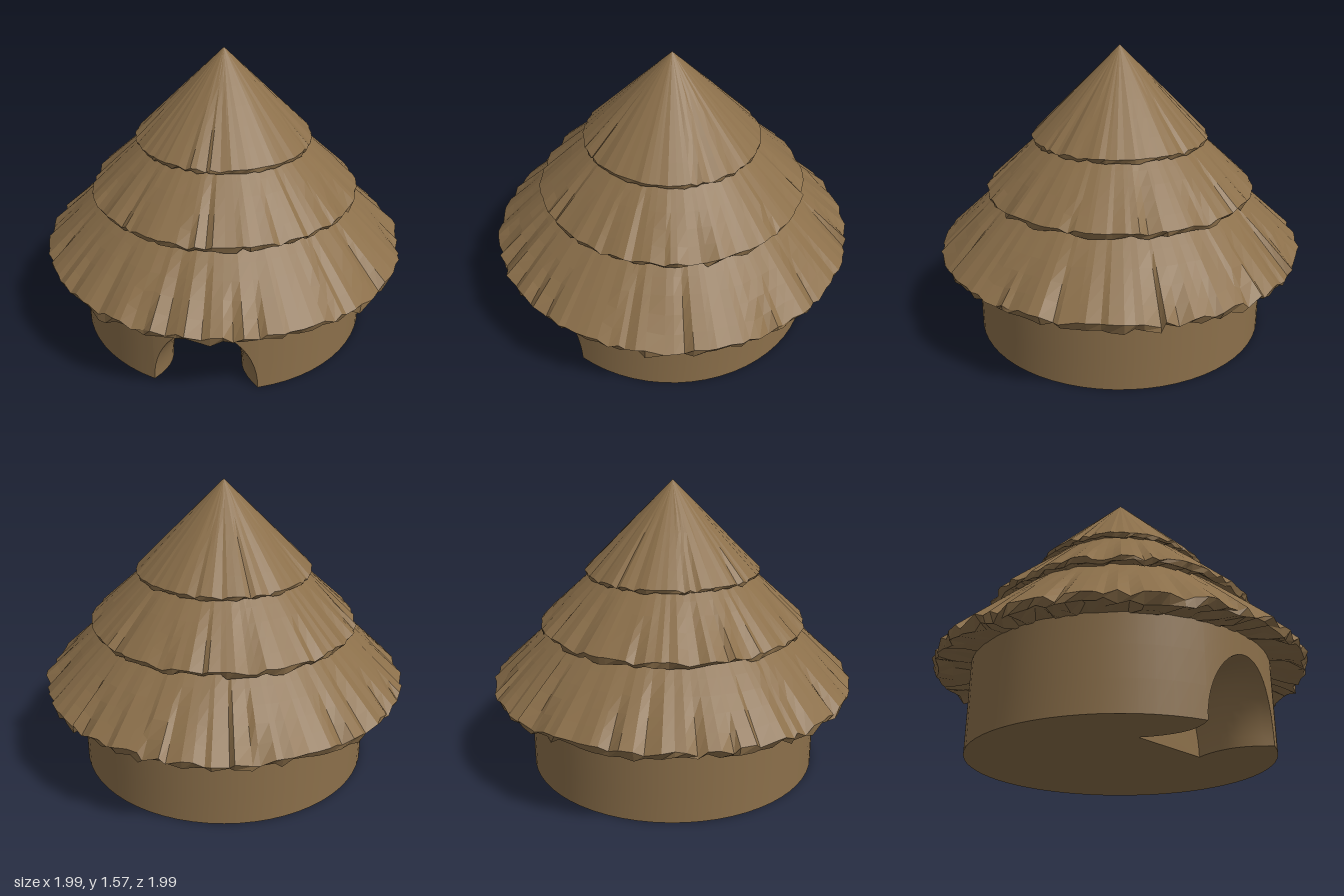
import * as THREE from 'three';

const WALL_R = 0.8, WALL_TOP = 0.48;
const DOOR_W = 0.27, DOOR_H = 0.37, DOOR_BACK = 0.36;

// Small seeded generator for the ragged thatch
let seed = 7;
const rand = () => {
  seed = (seed * 16807) % 2147483647;
  return seed / 2147483647;
};

// Surface from a grid of points; flat gives one normal per face
function gridSurface(nu, nv, point, flat = false) {
  const pos = [], idx = [];
  for (let j = 0; j <= nv; j++) for (let i = 0; i <= nu; i++) pos.push(...point(i, j));
  for (let j = 0; j < nv; j++) for (let i = 0; i < nu; i++) {
    const a = j * (nu + 1) + i, b = a + 1, c = a + nu + 1, d = c + 1;
    idx.push(a, b, d, a, d, c);
  }
  let geo = new THREE.BufferGeometry();
  geo.setAttribute('position', new THREE.Float32BufferAttribute(pos, 3));
  geo.setIndex(idx);
  if (flat) geo = geo.toNonIndexed();
  geo.computeVertexNormals();
  return geo;
}

// Point of the doorway: t runs over the arch, v runs from the outer face inwards
function doorPoint(t, v) {
  const flare = (1 - 2 * v) ** 2 * (v < 0.5 ? DOOR_W - 0.185 : 0.05);
  const c = Math.cos(t), rimX = DOOR_W * c;
  const z = THREE.MathUtils.lerp(Math.sqrt(WALL_R ** 2 - rimX ** 2), DOOR_BACK, v);
  return [-0.04 * v + (0.185 + flare) * c, (DOOR_H - 0.01 * Math.sin(Math.PI * v)) * Math.sin(t), z];
}

// Round wall whose lower edge follows the door arch
function wallGeometry() {
  const cols = [], n = 24, m = 56, half = Math.asin(DOOR_W / WALL_R);
  for (let i = 0; i <= n; i++) {
    const t = Math.PI * (1 - i / n);
    cols.push([Math.asin(DOOR_W * Math.cos(t) / WALL_R), DOOR_H * Math.sin(t)]);
  }
  for (let i = 1; i <= m; i++) cols.push([half + (2 * Math.PI - 2 * half) * i / m, 0]);
  return gridSurface(cols.length - 1, 3, (i, j) => {
    const [a, y0] = cols[i];
    return [WALL_R * Math.sin(a), THREE.MathUtils.lerp(y0, WALL_TOP, j / 3), WALL_R * Math.cos(a)];
  });
}

// Underside of the hut with the doorway notch cut out
function baseGeometry() {
  const pts = [], half = Math.asin(DOOR_W / WALL_R);
  for (let i = 0; i <= 56; i++) {
    const a = half + (2 * Math.PI - 2 * half) * i / 56;
    pts.push(new THREE.Vector2(WALL_R * Math.sin(a), WALL_R * Math.cos(a)));
  }
  for (const [t, back] of [[Math.PI, false], [0, true]]) {
    for (let k = 0; k <= 10; k++) {
      const p = doorPoint(t, (back ? 10 - k : k) / 10);
      pts.push(new THREE.Vector2(p[0], p[2]));
    }
  }
  return new THREE.ShapeGeometry(new THREE.Shape(pts)).rotateX(Math.PI / 2);
}

// Flat wall at the back of the doorway
function doorBackGeometry() {
  const pts = [];
  for (let i = 0; i <= 24; i++) {
    const p = doorPoint(Math.PI * i / 24, 1);
    pts.push(new THREE.Vector2(p[0], p[1]));
  }
  return new THREE.ShapeGeometry(new THREE.Shape(pts)).translate(0, 0, DOOR_BACK);
}

// Thatch tier: grooves widen down to a ragged lip, then a rough underside
function thatchGeometry({ topR, topY, edgeR, edgeY, innerR, innerY, n, rough }) {
  const cols = [];
  for (let i = 0; i < n; i++) {
    const groove = rand() < 0.3;
    cols.push({
      a: (i + (rand() - 0.5) * 0.7) / n * Math.PI * 2,
      depth: rough * (groove ? 0.7 + rand() * 0.6 : rand() * 0.3),
      start: groove ? 0.2 + rand() * 0.5 : 0.5,
      r: edgeR - rand() * rough * 0.5,
      lipY: edgeY - rough * (0.7 + rand() * 0.9),
      lipR: edgeR - rough * (0.4 + rand() * 0.8),
      mid: (rand() - 0.5) * rough * 1.2,
    });
  }
  const steps = 6;
  return gridSurface(n, steps + 3, (i, j) => {
    const c = cols[i % n];
    let r, y;
    if (j === 0) [r, y] = [innerR, innerY];
    else if (j === 1) [r, y] = [(innerR + edgeR) / 2, (innerY + c.lipY) / 2 + c.mid];
    else if (j === 2) [r, y] = [c.lipR, c.lipY];
    else {
      const s = 1 - (j - 3) / steps;
      const sink = c.depth * Math.max(0, (s - c.start) / (1 - c.start));
      r = THREE.MathUtils.lerp(topR, c.r, s) - sink * 0.2;
      y = THREE.MathUtils.lerp(topY, edgeY, s) - sink * 0.7;
    }
    return [r * Math.sin(c.a), y, r * Math.cos(c.a)];
  }, true);
}

export function createModel() {
  const hut = new THREE.Group();
  hut.name = 'roundHut';
  const brown = new THREE.MeshStandardMaterial({ color: 0x8b6f4a, side: THREE.DoubleSide });
  brown.name = 'earth brown';
  const add = (name, geometry) => {
    const mesh = new THREE.Mesh(geometry, brown);
    mesh.name = name;
    hut.add(mesh);
  };

  // Walls and doorway
  add('wall', wallGeometry());
  add('base', baseGeometry());
  add('doorwayReveal', gridSurface(24, 10, (i, j) => doorPoint(Math.PI * i / 24, j / 10)));
  add('doorwayBack', doorBackGeometry());

  // Three overlapping thatch tiers
  add('lowerThatch', thatchGeometry({
    topR: 0.6, topY: 0.85, edgeR: 1.005, edgeY: 0.49, innerR: 0.78, innerY: 0.475, n: 112, rough: 0.042,
  }));
  add('middleThatch', thatchGeometry({
    topR: 0.36, topY: 1.15, edgeR: 0.735, edgeY: 0.815, innerR: 0.6, innerY: 0.82, n: 100, rough: 0.03,
  }));
  add('upperThatch', thatchGeometry({
    topR: 0, topY: 1.57, edgeR: 0.48, edgeY: 1.095, innerR: 0.36, innerY: 1.11, n: 84, rough: 0.02,
  }));
  return hut;
}
